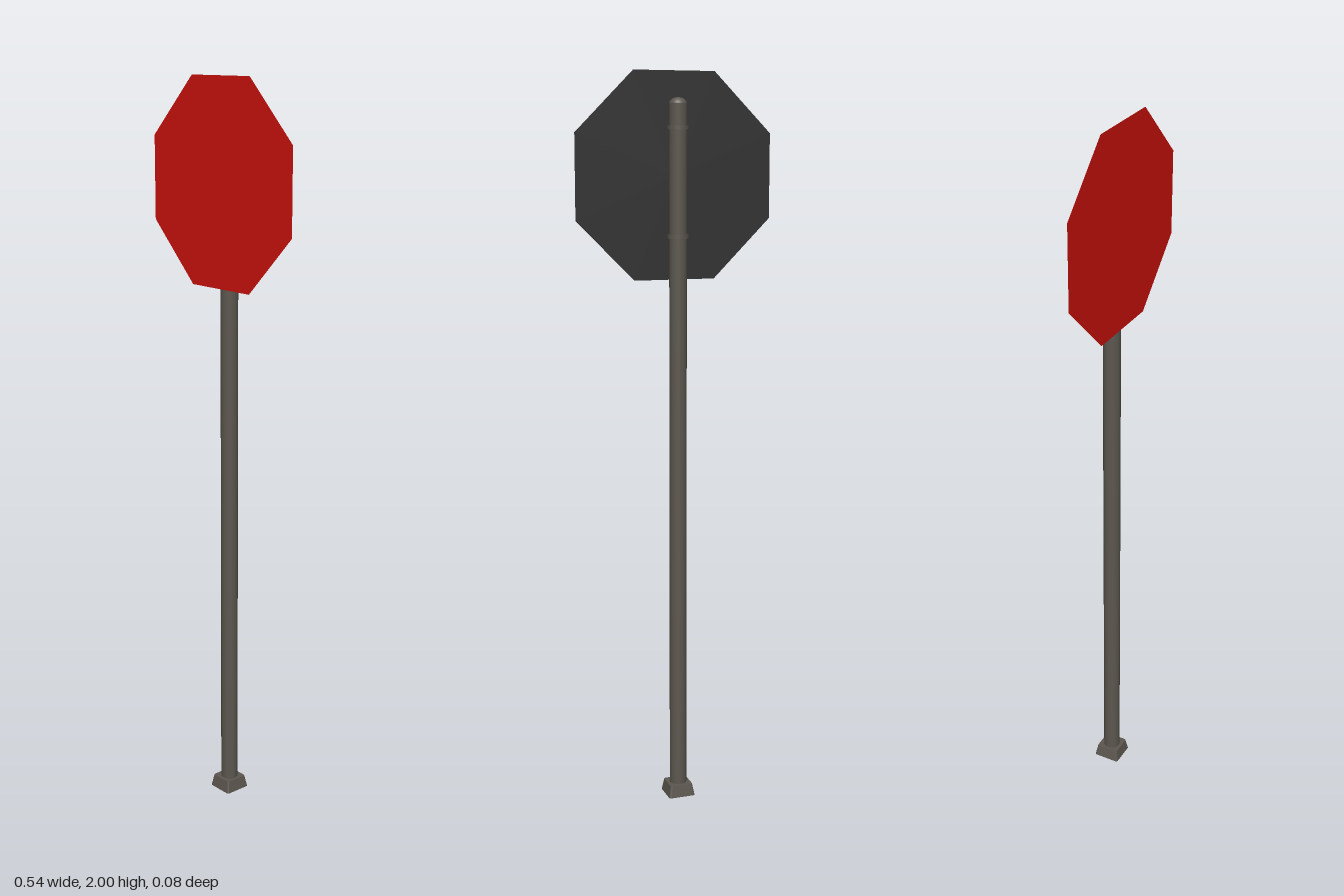
import * as THREE from 'three';

const paint = (color, side = THREE.FrontSide) => new THREE.MeshStandardMaterial({ color, side });

function add(group, name, geometry, material) {
  const mesh = new THREE.Mesh(geometry, material);
  mesh.name = name;
  group.add(mesh);
  return mesh;
}

// Square outline with rounded corners
function roundedSquare(h, r) {
  const s = new THREE.Shape();
  [[1, 1], [-1, 1], [-1, -1], [1, -1]].forEach(([x, y], i) => {
    s.absarc(x * (h - r), y * (h - r), r, i * Math.PI / 2, (i + 1) * Math.PI / 2, false);
  });
  s.closePath();
  return s;
}

export function createModel() {
  const model = new THREE.Group();
  const metal = paint(0x5c574f);

  // Tapered foot: widest at the ground, narrowing to a flat top
  const footHeight = 0.033;
  const foot = new THREE.ExtrudeGeometry(roundedSquare(0.038, 0.006),
    { depth: footHeight, bevelEnabled: false, curveSegments: 4 });
  foot.rotateX(-Math.PI / 2);
  const p = foot.attributes.position;
  for (let i = 0; i < p.count; i++) {
    const k = 1 - 0.16 * p.getY(i) / footHeight;
    p.setX(i, p.getX(i) * k);
    p.setZ(i, p.getZ(i) * k);
  }
  foot.computeVertexNormals();
  add(model, 'foot', foot, metal);

  // Round post
  const post = new THREE.CylinderGeometry(0.0235, 0.0235, 1.885, 24);
  add(model, 'post', post, metal).position.y = 0.03 + 1.885 / 2;

  // Domed cap on the post
  const capPoints = [[0.0235, 0], [0.022, 0.005], [0.017, 0.011], [0.009, 0.015], [0, 0.016]]
    .map(([x, y]) => new THREE.Vector2(x, y));
  add(model, 'cap', new THREE.LatheGeometry(capPoints, 24), metal).position.y = 1.915;

  // Clamp bands holding the plate
  for (const y of [1.572, 1.853]) {
    const band = new THREE.CylinderGeometry(0.0285, 0.0285, 0.01, 24);
    add(model, 'clampBand', band, metal).position.y = y;
  }

  // Thin octagonal plate: coloured face and dark back
  const radius = 0.272 / Math.cos(Math.PI / 8);
  const face = new THREE.CircleGeometry(radius, 8, Math.PI / 8);
  add(model, 'signFace', face, paint(0xd0120c)).position.set(0, 1.728, 0.031);
  const back = new THREE.CircleGeometry(radius, 8, Math.PI / 8);
  back.rotateY(Math.PI);
  add(model, 'signBack', back, paint(0x303030)).position.set(0, 1.728, 0.03);

  return model;
}
